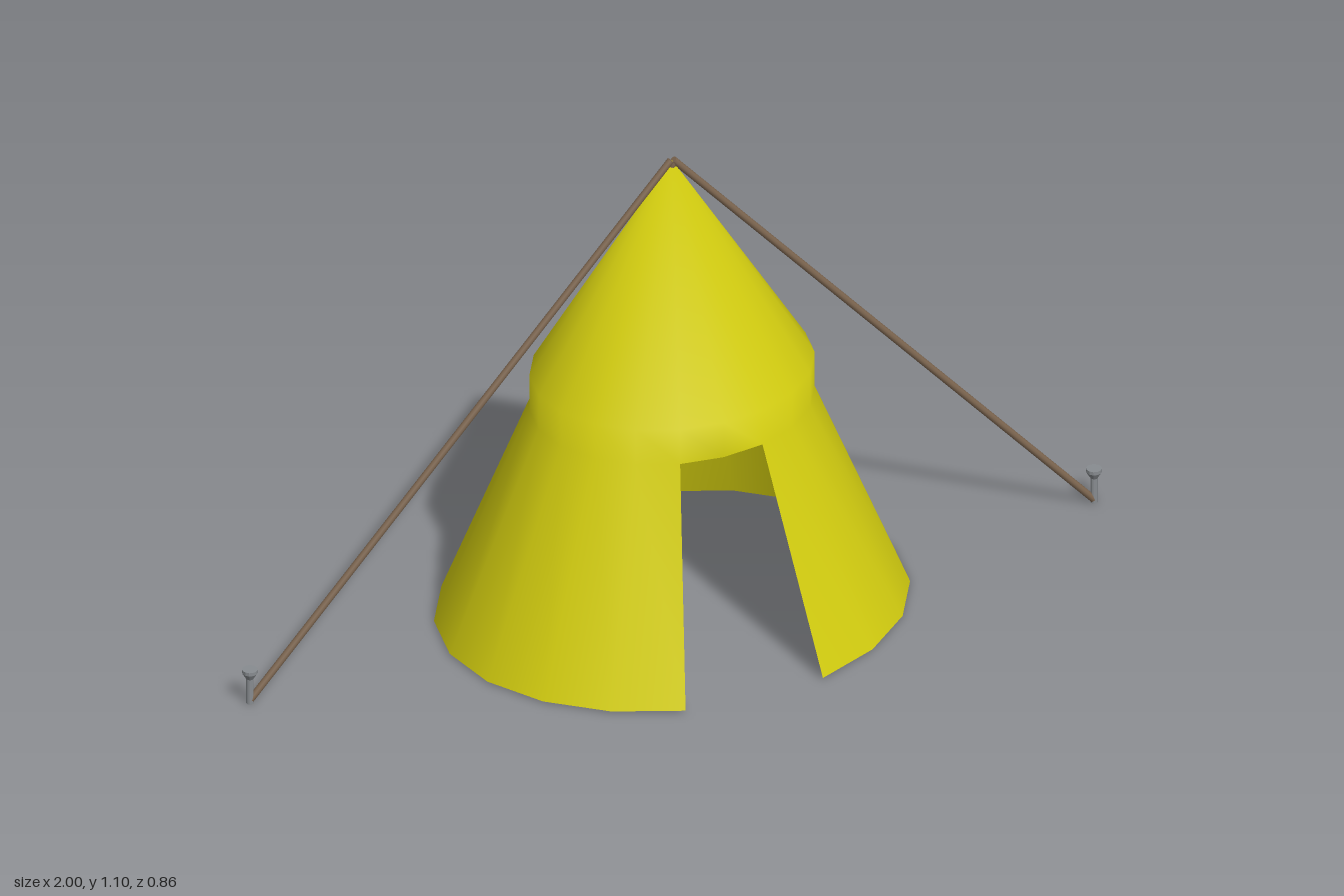
import * as THREE from 'three';
import { mergeGeometries, mergeVertices } from 'three/addons/utils/BufferGeometryUtils.js';

const SIDES = 20;
const STEP = (Math.PI * 2) / SIDES;
const CENTRE_Z = 0.011;

const yellow = new THREE.MeshStandardMaterial({ color: 0xd6d010, side: THREE.DoubleSide });
const brown = new THREE.MeshStandardMaterial({ color: 0x7d6650 });
const grey = new THREE.MeshStandardMaterial({ color: 0x888c90 });

const points = (list) => list.map(([r, y]) => new THREE.Vector2(r, y));

function add(parent, name, geometry, material) {
  const mesh = new THREE.Mesh(geometry, material);
  mesh.name = name;
  parent.add(mesh);
  return mesh;
}

// Oval cloth: closed cone and band above, wall with a two-panel doorway below
function clothGeometry() {
  const roof = new THREE.LatheGeometry(points([[0.31, 0.505], [0.31, 0.59], [0, 1.095]]), SIDES);
  const wall = new THREE.LatheGeometry(
    points([[0.517, 0.003], [0.31, 0.505]]), SIDES - 2, STEP, Math.PI * 2 - 2 * STEP);
  const joined = mergeGeometries([roof, wall]);
  joined.scale(1, 1, 0.85);
  joined.deleteAttribute('normal');
  joined.deleteAttribute('uv');
  const cloth = mergeVertices(joined, 1e-4);
  cloth.computeVertexNormals();
  return cloth;
}

// Straight round rod between two points
function rod(parent, name, from, to, radius) {
  const a = new THREE.Vector3(...from);
  const b = new THREE.Vector3(...to);
  const mesh = add(parent, name, new THREE.CylinderGeometry(radius, radius, a.distanceTo(b), 10), brown);
  mesh.position.copy(a).lerp(b, 0.5);
  mesh.quaternion.setFromUnitVectors(new THREE.Vector3(0, 1, 0), b.sub(a).normalize());
  return mesh;
}

export function createModel() {
  const tent = new THREE.Group();
  tent.name = 'tent';

  const body = new THREE.Group();
  body.position.z = CENTRE_Z;
  tent.add(body);

  add(body, 'cloth', clothGeometry(), yellow);
  rod(body, 'centrePole', [0, 0.003, 0], [0, 1.09, 0], 0.008);

  // Guy ropes and flared ground stakes, mirrored left and right
  const stakeProfile = points([
    [0, 0], [0.008, 0], [0.008, 0.06], [0.017, 0.075], [0.017, 0.083], [0, 0.083],
  ]);
  for (const [side, s] of [['left', 1], ['right', -1]]) {
    rod(body, side + 'GuyRope', [s * 0.98, 0.008, 0], [s * 0.003, 1.095, 0], 0.008);
    const stake = add(body, side + 'Stake',
      new THREE.LatheGeometry(stakeProfile, 12).toNonIndexed(), grey);
    stake.geometry.computeVertexNormals();
    stake.position.x = s * 0.982;
  }
  return tent;
}
